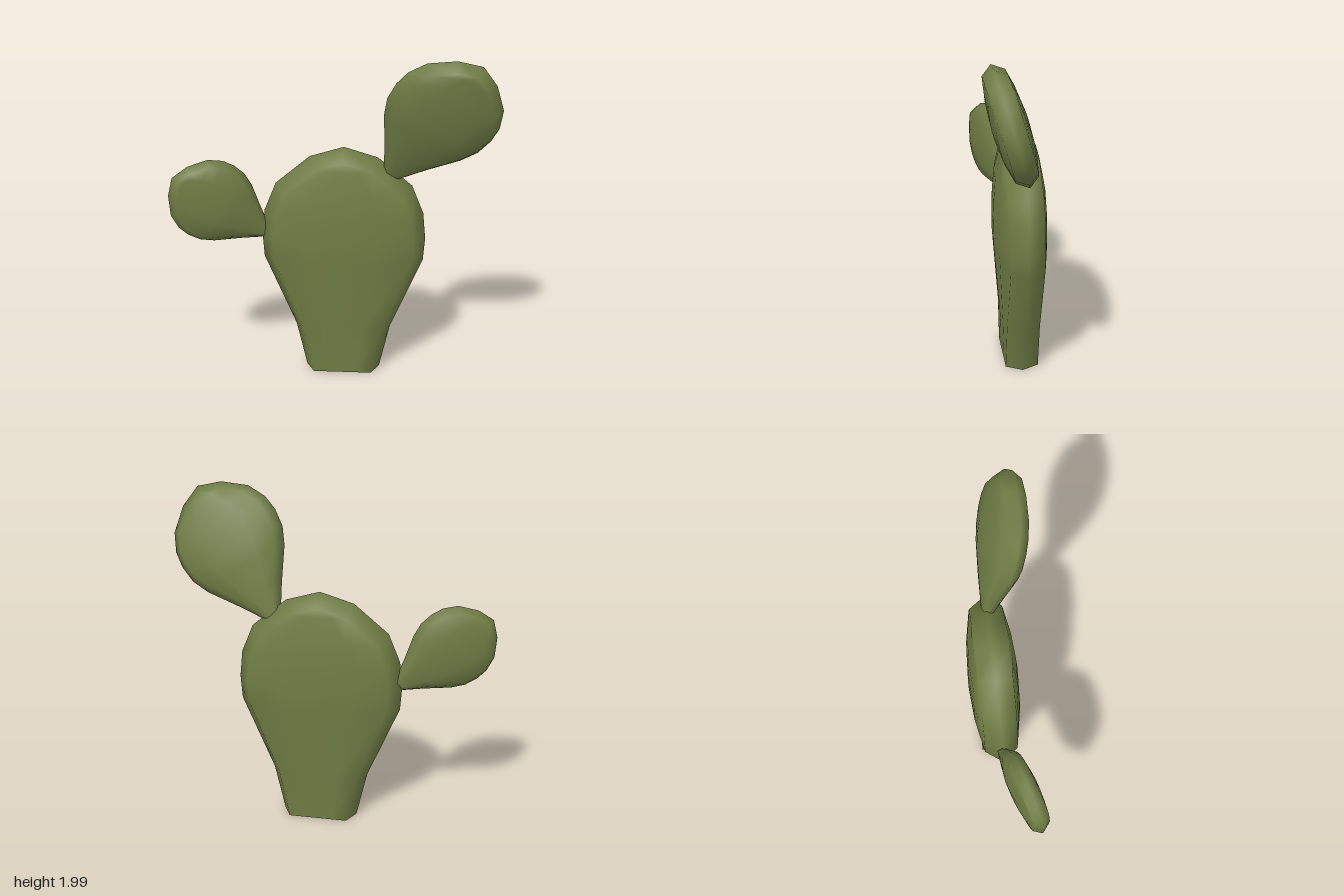
import * as THREE from 'three';
import { mergeVertices } from 'three/addons/utils/BufferGeometryUtils.js';

// A pad is lofted from rows of [height, half width, rim half depth, inset, bulge].
// Each row is a flat ring: outer edge, inset rim, gently bulging face.
function padGeometry(rows) {
  const across = [1, 0.5, 0, -0.5, -1];
  const positions = [];
  const index = [];
  const last = rows.length - 1;
  rows.forEach(([y, w, depth, inset, bulge], i) => {
    // outward direction of the outline at this row
    let nx = 1, ny = 0;
    if (i === last) { nx = 0; ny = 1; }
    else if (i > 0) {
      const dx = rows[i + 1][1] - rows[i - 1][1];
      const dy = rows[i + 1][0] - rows[i - 1][0];
      const len = Math.hypot(dx, dy);
      nx = dy / len;
      ny = -dx / len;
    }
    const rimX = Math.max(0, w - nx * inset);
    const rimY = y - ny * inset;
    for (const side of [1, -1]) {
      positions.push(side * w, y, 0);
      for (const u of across) {
        positions.push(side * u * rimX, rimY, side * (depth + bulge * (1 - u * u)));
      }
    }
  });
  const n = 2 * (across.length + 1);
  for (let i = 0; i < last; i++) {
    for (let j = 0; j < n; j++) {
      const a = i * n + j, b = i * n + (j + 1) % n;
      index.push(a, a + n, b, b, a + n, b + n);
    }
  }
  const geometry = new THREE.BufferGeometry();
  geometry.setAttribute('position', new THREE.Float32BufferAttribute(positions, 3));
  geometry.setIndex(index);
  const merged = mergeVertices(geometry, 1e-4);
  merged.computeVertexNormals();
  return merged;
}

export function createModel() {
  const group = new THREE.Group();
  group.name = 'cactus';

  const green = new THREE.MeshStandardMaterial({ color: 0x707d45, side: THREE.DoubleSide });
  green.name = 'cactus green';

  const addPad = (name, geometry, position, rotation, scale = 1) => {
    const mesh = new THREE.Mesh(geometry, green);
    mesh.name = name;
    mesh.position.set(...position);
    mesh.rotation.set(...rotation);
    mesh.scale.setScalar(scale);
    group.add(mesh);
  };

  // Large trunk pad, cut off and open at the ground
  const trunk = padGeometry([
    [0, 0.225, 0.098, 0.05, 0],
    [0.28, 0.288, 0.098, 0.055, 0.015],
    [0.73, 0.478, 0.098, 0.07, 0.052],
    [0.87, 0.488, 0.098, 0.07, 0.053],
    [1.03, 0.472, 0.098, 0.07, 0.05],
    [1.2, 0.403, 0.098, 0.07, 0.04],
    [1.37, 0.2, 0.098, 0.07, 0.012],
    [1.43, 0, 0.098, 0.07, 0],
  ]);

  // Smaller pad with a narrow stem end, shared by both arms
  const arm = padGeometry([
    [0, 0.055, 0.028, 0.02, 0],
    [0.14, 0.147, 0.05, 0.035, 0.012],
    [0.31, 0.268, 0.063, 0.045, 0.03],
    [0.41, 0.315, 0.063, 0.045, 0.036],
    [0.515, 0.328, 0.063, 0.045, 0.036],
    [0.61, 0.315, 0.063, 0.045, 0.032],
    [0.715, 0.262, 0.063, 0.045, 0.023],
    [0.82, 0.135, 0.063, 0.045, 0.008],
    [0.872, 0, 0.063, 0.045, 0],
  ]);

  addPad('trunkPad', trunk, [0.05, 0, -0.055], [0, 0, 0]);
  addPad('leftArmPad', arm, [0.33, 1.27, -0.052], [0.285, 0, -0.595]);
  addPad('rightArmPad', arm, [-0.42, 0.89, -0.058], [0, 0.3, 0.96], 0.76);

  return group;
}
